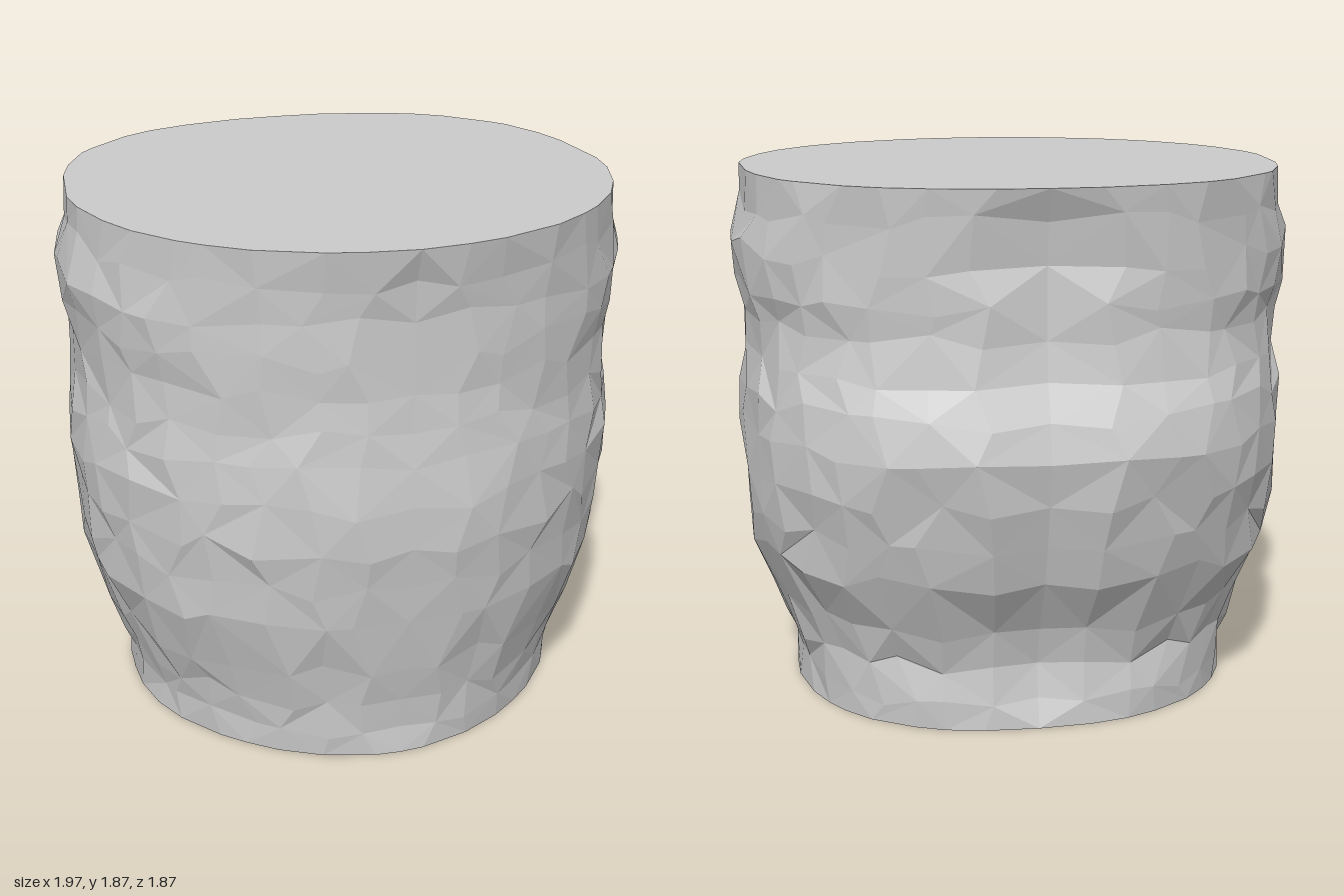
import * as THREE from 'three';

// Cross-section levels: height, half width, front z, back z, front roundness
const LEVELS = [
  [0, 0.80, 0.82, -0.70, 1.85],
  [0.10, 0.80, 0.825, -0.70, 1.85],
  [0.22, 0.83, 0.84, -0.68, 1.85],
  [0.36, 0.88, 0.87, -0.72, 1.88],
  [0.56, 0.955, 0.905, -0.83, 1.92],
  [0.70, 0.965, 0.92, -0.87, 1.95],
  [0.85, 0.97, 0.94, -0.91, 2],
  [1.00, 0.975, 0.94, -0.945, 2],
  [1.13, 0.97, 0.93, -0.915, 2],
  [1.25, 0.955, 0.915, -0.86, 2],
  [1.38, 0.95, 0.91, -0.84, 2],
  [1.50, 0.975, 0.91, -0.835, 2],
  [1.62, 0.995, 0.91, -0.83, 2],
  [1.76, 0.955, 0.92, -0.85, 2],
  [1.87, 0.945, 0.945, -0.865, 2],
];
const SEGMENTS = 36;
const HALF = SEGMENTS / 2;
const CENTRE_Z = 0.05;

function seeded(seed) {
  return () => {
    seed = (seed * 16807) % 2147483647;
    return (seed / 2147483647) * 2 - 1;
  };
}

const spow = (v, e) => Math.sign(v) * Math.pow(Math.abs(v), e);

// One half-outline from the front seam round the side to the back seam
function halfSection([y, w, zf, zb, nf], row, rand) {
  const points = [];
  const rim = row === 0 || row === LEVELS.length - 1;
  for (let i = 0; i <= HALF; i++) {
    const seam = i === 0 || i === HALF;
    const a = (i / HALF) * Math.PI + (seam ? 0 : rand() * 0.05);
    const s = Math.sin(a), c = Math.cos(a);
    const n = c > 0 ? nf : 2.35;
    const r = 1 + (seam ? 0 : rand() * (rim ? 0.004 : 0.011));
    const depth = c > 0 ? zf - CENTRE_Z : CENTRE_Z - zb;
    let z = CENTRE_Z + spow(c, 2 / n) * depth * r;
    // the seam is pinched slightly inward
    if (i === 0 && !rim) z -= 0.015;
    if (i === HALF && !rim) z += 0.035;
    const x = seam ? 0 : Math.pow(s, 2 / n) * w * Math.min(r, 1.006);
    points.push([x, y + (rim || seam ? 0 : rand() * 0.035), z]);
  }
  return points;
}

// Mirror the half-outline into a closed ring
function ring(level, row, rand) {
  const half = halfSection(level, row, rand);
  const other = half.slice(1, -1).reverse().map(([x, y, z]) => [-x, y, z]);
  return [...half, ...other];
}

function meshFrom(name, positions, index, material) {
  const geometry = new THREE.BufferGeometry();
  geometry.setAttribute('position', new THREE.Float32BufferAttribute(positions, 3));
  geometry.setIndex(index);
  geometry.computeVertexNormals();
  const mesh = new THREE.Mesh(geometry, material);
  mesh.name = name;
  return mesh;
}

// Flat lid closing a ring
function cap(name, points, up, material) {
  const index = [];
  for (let i = 0; i < SEGMENTS; i++) {
    const a = i + 1, b = ((i + 1) % SEGMENTS) + 1;
    index.push(0, up ? a : b, up ? b : a);
  }
  return meshFrom(name, [0, points[0][1], CENTRE_Z, ...points.flat()], index, material);
}

export function createModel() {
  const group = new THREE.Group();
  group.name = 'torsoSection';
  const material = new THREE.MeshStandardMaterial({ color: 0xcccccc, flatShading: true });
  const rand = seeded(4711);
  const rings = LEVELS.map((level, row) => ring(level, row, rand));

  // Faceted wall, with mirrored diagonals on the two halves
  const index = [];
  for (let j = 0; j < rings.length - 1; j++) {
    for (let i = 0; i < SEGMENTS; i++) {
      const k = (i + 1) % SEGMENTS;
      const a = j * SEGMENTS + i, b = j * SEGMENTS + k;
      const c = b + SEGMENTS, d = a + SEGMENTS;
      const m = i < HALF ? i : SEGMENTS - 1 - i;
      if (((m + j) % 2 === 0) === (i < HALF)) index.push(a, b, c, a, c, d);
      else index.push(a, b, d, b, c, d);
    }
  }
  group.add(meshFrom('wall', rings.flat(2), index, material));

  // Cut ends
  group.add(cap('topCap', rings[rings.length - 1], true, material));
  group.add(cap('bottomCap', rings[0], false, material));
  return group;
}
